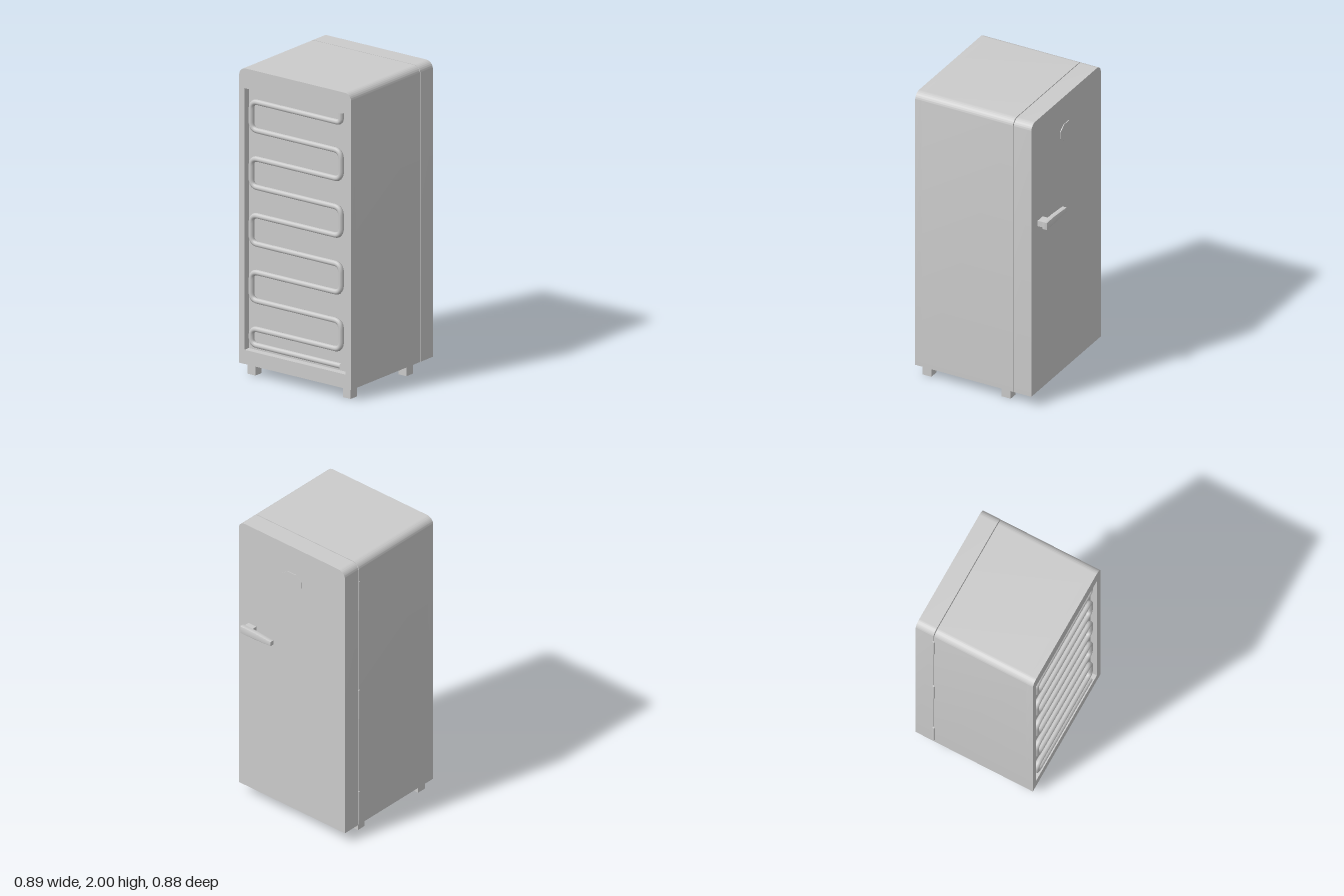
import * as THREE from 'three';
import { toCreasedNormals } from 'three/addons/utils/BufferGeometryUtils.js';

const material = new THREE.MeshStandardMaterial({ color: 0xcccccc });

// Cabinet outline seen along x: square at the bottom, rounded top corners.
// Shape x is -z, so extrusions turned by +90 degrees run along +x.
function cabinetShape() {
  const a = -0.44, b = 0.436, y0 = 0.073, y1 = 2, r = 0.05;
  const s = new THREE.Shape();
  s.moveTo(a, y0);
  s.lineTo(b, y0);
  s.lineTo(b, y1 - r);
  s.absarc(b - r, y1 - r, r, 0, Math.PI / 2, false);
  s.lineTo(a + r, y1);
  s.absarc(a + r, y1 - r, r, Math.PI / 2, Math.PI, false);
  s.closePath();
  return s;
}

function extrudeX(shape, x0, x1, bevel = 0) {
  const geometry = new THREE.ExtrudeGeometry(shape, {
    depth: x1 - x0 - 2 * bevel,
    curveSegments: 10,
    bevelEnabled: bevel > 0,
    bevelSize: bevel,
    bevelThickness: bevel,
    bevelOffset: -bevel,
    bevelSegments: 2,
  });
  geometry.rotateY(Math.PI / 2);
  geometry.translate(x0 + bevel, 0, 0);
  return toCreasedNormals(geometry, 0.6);
}

function polygon(points) {
  return new THREE.Shape(points.map(([z, y]) => new THREE.Vector2(-z, y)));
}

// Serpentine path with rounded bends in the plane x
function coilPath(x) {
  const rows = [1.79, 1.605, 1.42, 1.235, 1.05, 0.865, 0.68, 0.495, 0.31, 0.205];
  const zNear = -0.355, zFar = 0.345, r = 0.05;
  const corners = [[zFar, 1.855]];
  rows.forEach((y, i) => {
    const ends = i % 2 ? [zNear, zFar] : [zFar, zNear];
    ends.forEach((z) => corners.push([z, y]));
  });
  const pts = corners.map(([z, y]) => new THREE.Vector3(x, y, z));
  const path = new THREE.CurvePath();
  let from = pts[0];
  for (let i = 1; i < pts.length - 1; i++) {
    const back = pts[i - 1].clone().sub(pts[i]);
    const ahead = pts[i + 1].clone().sub(pts[i]);
    const radius = Math.min(r, back.length() * 0.45, ahead.length() * 0.45);
    const enter = pts[i].clone().add(back.setLength(radius));
    const leave = pts[i].clone().add(ahead.setLength(radius));
    path.add(new THREE.LineCurve3(from, enter));
    path.add(new THREE.QuadraticBezierCurve3(enter, pts[i], leave));
    from = leave;
  }
  path.add(new THREE.LineCurve3(from, pts[pts.length - 1]));
  return path;
}

export function createModel() {
  const model = new THREE.Group();
  model.name = 'refrigerator';
  const add = (name, geometry, x = 0, y = 0, z = 0) => {
    const mesh = new THREE.Mesh(geometry, material);
    mesh.name = name;
    mesh.position.set(x, y, z);
    model.add(mesh);
    return mesh;
  };

  // Cabinet, with a framed recess at the back
  add('cabinet', extrudeX(cabinetShape(), -0.403, 0.246));
  const frame = cabinetShape();
  frame.holes.push(new THREE.Path(
    [[-0.395, 0.165], [-0.395, 1.87], [0.395, 1.87], [0.395, 0.165]]
      .map(([z, y]) => new THREE.Vector2(-z, y))));
  add('backFrame', extrudeX(frame, -0.448, -0.403));

  // Condenser coil in the recess
  add('condenserCoil', new THREE.TubeGeometry(coilPath(-0.428), 640, 0.018, 8, false));

  // Door, separated from the cabinet by a narrow gap
  add('door', extrudeX(cabinetShape(), 0.251, 0.376));

  // Hinge barrels
  for (const y of [0.215, 0.965, 1.765]) {
    add('hinge', new THREE.CylinderGeometry(0.008, 0.008, 0.21, 12), 0.2485, y, -0.435);
  }

  // Plain oval plate on the door
  const plate = [];
  for (let i = 0; i < 8; i++) {
    const a = (i + 0.5) * Math.PI / 4;
    plate.push([-0.087 * Math.cos(a), 1.75 + 0.062 * Math.sin(a)]);
  }
  add('doorPlate', extrudeX(polygon(plate), 0.374, 0.381));

  // Handle: mounting post and tapered grip
  add('handlePost', new THREE.BoxGeometry(0.045, 0.038, 0.065), 0.396, 1.264, 0.327);
  add('handleGrip', extrudeX(polygon([
    [0.368, 1.24], [0.26, 1.24], [0.118, 1.248],
    [0.118, 1.278], [0.26, 1.289], [0.368, 1.289],
  ]), 0.414, 0.446, 0.004));

  // Feet
  for (const x of [-0.382, 0.181]) {
    for (const z of [0.379, -0.367]) {
      add('foot', new THREE.BoxGeometry(0.064, 0.075, 0.062), x, 0.0375, z);
    }
  }
  return model;
}
